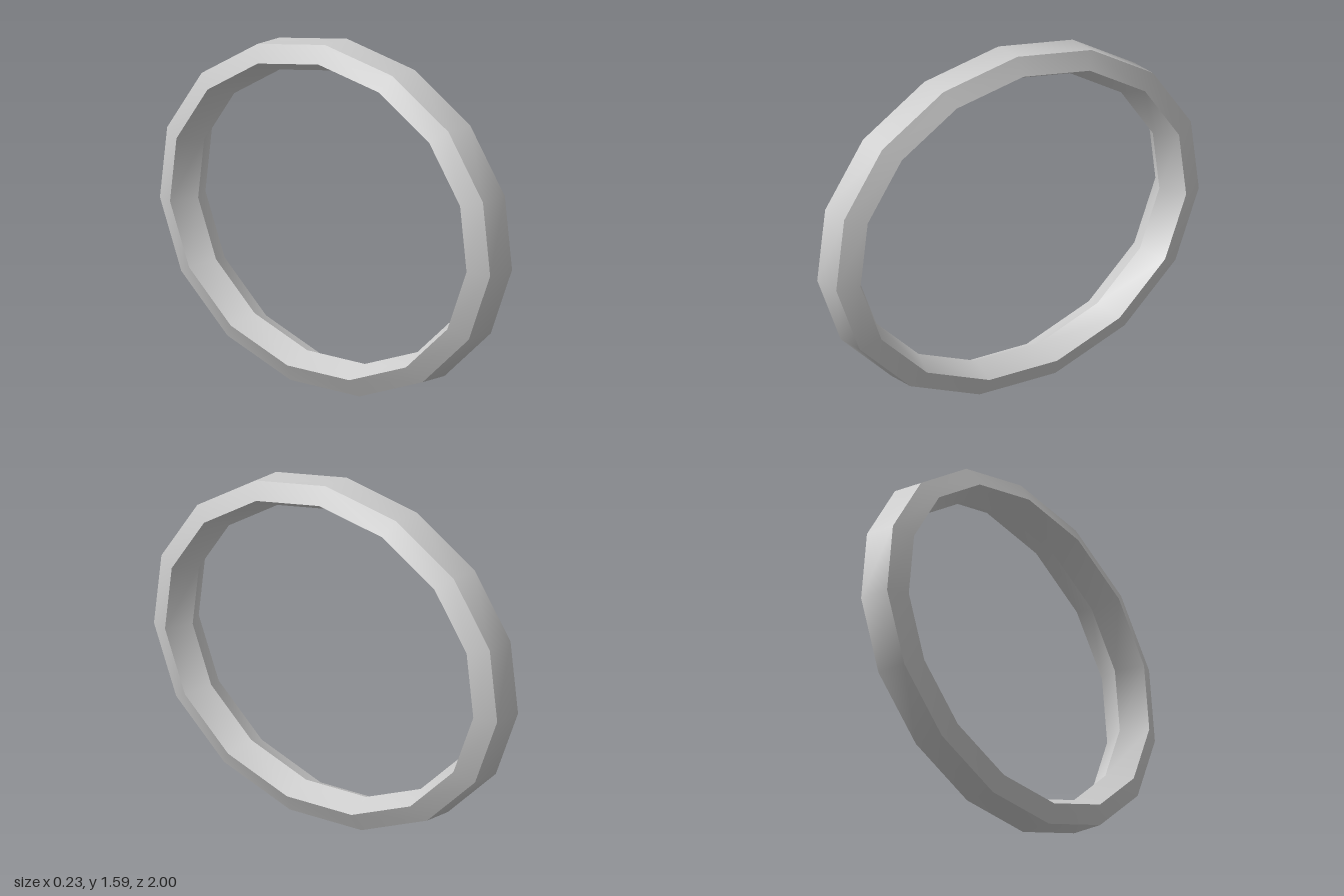
import * as THREE from 'three';
import { toCreasedNormals } from 'three/addons/utils/BufferGeometryUtils.js';

const SIDES = 15;          // segments around the ring
const SECTION_SIDES = 5;   // pentagonal cross-section, point facing inwards
const SECTION_RADIUS = 0.0912;
const SECTION_HALF_WIDTH = 0.1235;
const RING_RADIUS = 0.926;
const SCALE_Y = 0.804;
const SCALE_Z = 1.0055;

export function createModel() {
  const group = new THREE.Group();
  group.name = 'ovalRing';

  // Closed pentagon profile, with its flat face outwards
  const profile = [];
  for (let i = 0; i <= SECTION_SIDES; i++) {
    const t = (((i % SECTION_SIDES) + 0.5) / SECTION_SIDES) * Math.PI * 2;
    profile.push(new THREE.Vector2(
      RING_RADIUS + SECTION_RADIUS * Math.cos(t),
      SECTION_HALF_WIDTH * Math.sin(t)
    ));
  }

  // Spin the profile, stand the ring up with a corner on top, squash to an oval
  const lathe = new THREE.LatheGeometry(profile, SIDES);
  lathe.rotateX(-Math.PI / 2);
  lathe.rotateY(Math.PI / 2);
  lathe.scale(1, SCALE_Y, SCALE_Z);
  lathe.computeBoundingBox();
  lathe.translate(0, -lathe.boundingBox.min.y, 0);

  // Smooth around the ring, sharp along the section's edges
  const ring = new THREE.Mesh(
    toCreasedNormals(lathe, THREE.MathUtils.degToRad(40)),
    new THREE.MeshStandardMaterial({ color: 0xcccccc })
  );
  ring.name = 'ring';
  group.add(ring);
  return group;
}
